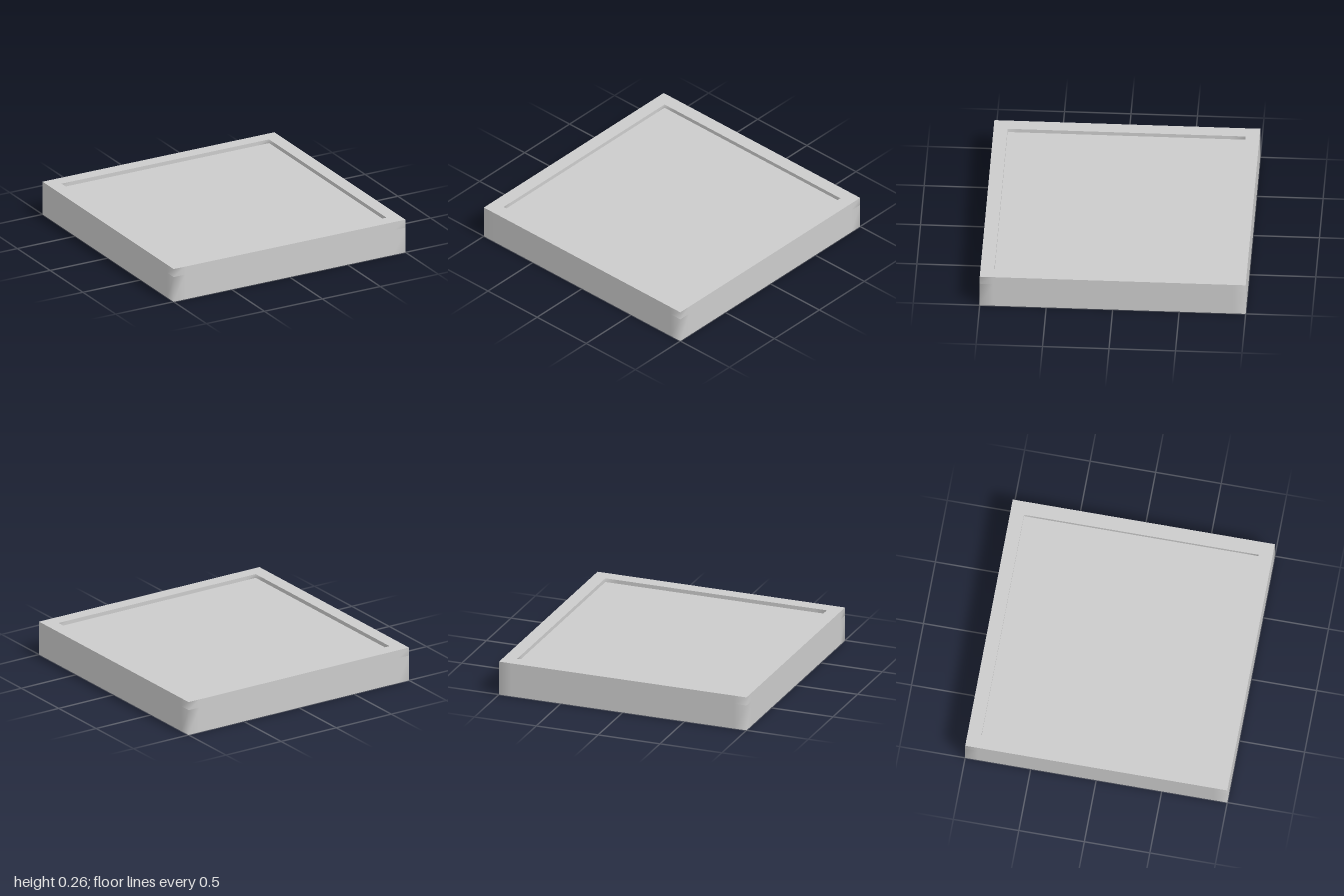
import * as THREE from 'three';

const HEIGHT = 0.265, SEAM = 0.2, PANEL = 0.235, INNER = 0.895;
const material = new THREE.MeshStandardMaterial({ color: 0xcccccc, side: THREE.DoubleSide });

// Square loop (clockwise from above), with points near each corner to keep the shading bend tight
function squareLoop(half, y, inset) {
  const points = [];
  const corners = [[1, 1], [1, -1], [-1, -1], [-1, 1]];
  corners.forEach(([x, z], i) => {
    const [nx, nz] = corners[(i + 1) % 4];
    const t = inset / (2 * half);
    for (const k of [0, t, 1 - t]) {
      points.push([half * (x + (nx - x) * k), y, half * (z + (nz - z) * k)]);
    }
  });
  return points;
}

// Band of quads from a lower/outer loop to an upper/inner loop
function band(a, b) {
  const n = a.length, index = [];
  for (let i = 0; i < n; i++) {
    const j = (i + 1) % n;
    index.push(i, j, n + j, i, n + j, n + i);
  }
  const geometry = new THREE.BufferGeometry();
  geometry.setAttribute('position', new THREE.Float32BufferAttribute([...a, ...b].flat(), 3));
  geometry.setIndex(index);
  geometry.computeVertexNormals();
  return geometry;
}

export function createModel() {
  const group = new THREE.Group();
  const add = (name, geometry) => {
    const mesh = new THREE.Mesh(geometry, material);
    mesh.name = name;
    group.add(mesh);
    return mesh;
  };
  const loop = (half, y) => squareLoop(half, y, 0.1);

  // Thin outer walls, open underneath, split by the seam below the rim
  add('skirtWall', band(loop(1, 0), loop(1, SEAM)));
  add('rimSide', band(loop(1, SEAM), loop(1, HEIGHT)));

  // Flat frame on top and the small step down to the panel
  add('rimTop', band(loop(1, HEIGHT), loop(INNER, HEIGHT)));
  add('recessWall', band(loop(INNER, HEIGHT), loop(INNER, PANEL)));

  // Sunken panel
  const panel = add('recessedPanel', new THREE.PlaneGeometry(INNER * 2, INNER * 2).rotateX(-Math.PI / 2));
  panel.position.y = PANEL;

  return group;
}
